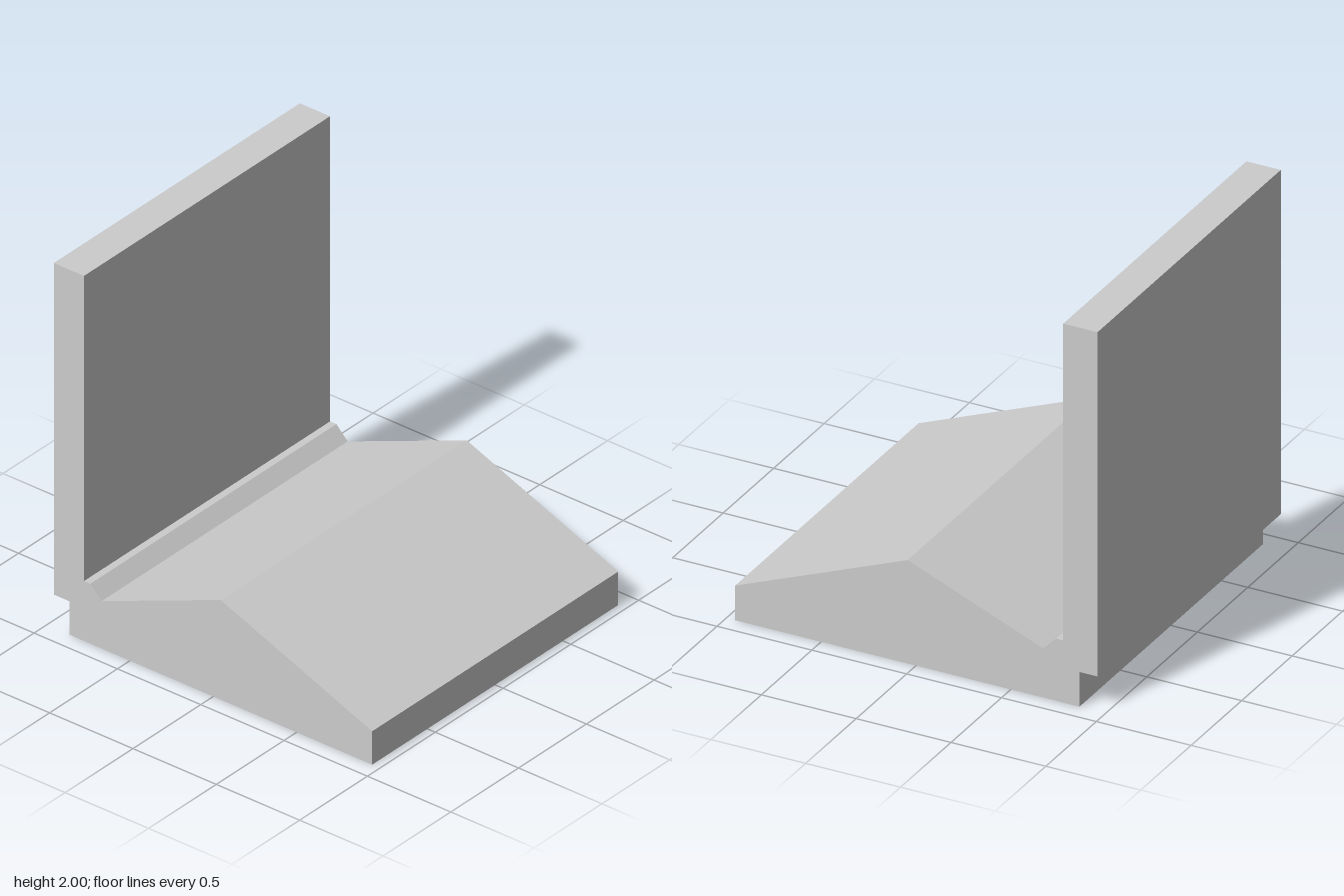
import * as THREE from 'three';

const DEPTH = 1.815;

export function createModel() {
  const group = new THREE.Group();
  group.name = 'ridgedAngleBlock';

  // Cross-section in x, y: ridged base, chamfered ledge and upright wall in one piece
  const profile = new THREE.Shape([
    [-0.862, 0], [0.953, 0], [0.953, 0.183], // base underside and low outer edge
    [0.044, 0.546], [-0.67, 0.26],           // ridge and valley
    [-0.738, 0.328], [-0.776, 0.328],        // chamfered ledge
    [-0.776, 2], [-0.957, 2],                // upright wall
    [-0.957, 0.183], [-0.862, 0.183],        // step under the wall
  ].map(([x, y]) => new THREE.Vector2(x, y)));

  // Extruded along z and centred
  const geometry = new THREE.ExtrudeGeometry(profile, { depth: DEPTH, bevelEnabled: false });
  geometry.translate(0, 0, -DEPTH / 2);

  const block = new THREE.Mesh(
    geometry,
    new THREE.MeshStandardMaterial({ color: 0xcccccc, flatShading: true })
  );
  block.name = 'baseAndUprightWall';
  group.add(block);
  return group;
}
